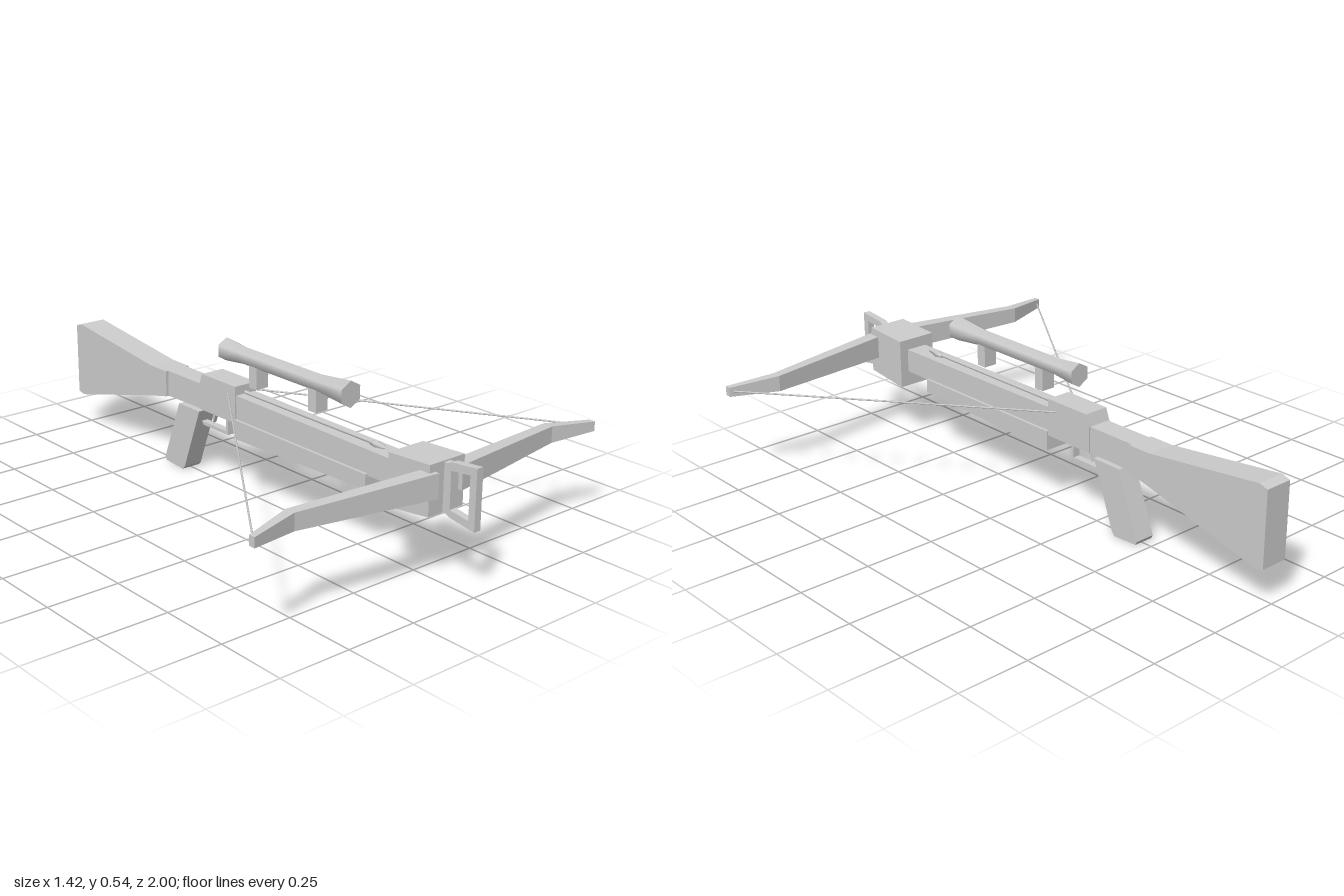
import * as THREE from 'three';

const grey = new THREE.MeshStandardMaterial({ color: 0xcccccc });
grey.name = 'light grey';

export function createModel() {
  const model = new THREE.Group();
  model.name = 'crossbow';

  const add = (name, geometry) => {
    const mesh = new THREE.Mesh(geometry, grey);
    mesh.name = name;
    model.add(mesh);
    return mesh;
  };

  // Side outline in (z, y), extruded across x and centred
  const slab = (name, points, halfWidth, hole) => {
    const shape = new THREE.Shape(points.map(([z, y]) => new THREE.Vector2(z, y)));
    if (hole) shape.holes.push(new THREE.Path(hole.map(([z, y]) => new THREE.Vector2(z, y))));
    const g = new THREE.ExtrudeGeometry(shape, { depth: halfWidth * 2, bevelEnabled: false });
    g.translate(0, 0, -halfWidth);
    g.rotateY(-Math.PI / 2);
    return add(name, g);
  };

  // Thin rod between two points
  const rod = (name, a, b, radius, sides = 6) => {
    const from = new THREE.Vector3(...a), to = new THREE.Vector3(...b);
    const dir = to.clone().sub(from);
    const mesh = add(name, new THREE.CylinderGeometry(radius, radius, dir.length(), sides));
    mesh.position.copy(from).add(to).multiplyScalar(0.5);
    mesh.quaternion.setFromUnitVectors(new THREE.Vector3(0, 1, 0), dir.normalize());
    return mesh;
  };

  // Solid of revolution along z from [z, radius] pairs, given back to front
  const turned = (name, profile, sides, y) => {
    const g = new THREE.LatheGeometry(profile.map(([z, r]) => new THREE.Vector2(r, z)), sides);
    g.rotateX(Math.PI / 2);
    g.translate(0, y, 0);
    return add(name, g);
  };

  // Stock, receiver and rail
  slab('rail', [[0.72, 0.27], [0.72, 0.352], [-0.06, 0.358], [-0.06, 0.26]], 0.04);
  slab('foreEnd', [[0.58, 0.225], [0.58, 0.275], [-0.06, 0.275], [-0.06, 0.207]], 0.05);
  slab('receiver', [[-0.06, 0.26], [-0.06, 0.39], [-0.24, 0.39], [-0.255, 0.35], [-0.255, 0.26]], 0.045);
  slab('wrist', [[-0.25, 0.26], [-0.25, 0.35], [-0.45, 0.35], [-0.45, 0.257]], 0.04);
  slab('buttStock', [[-0.44, 0.257], [-0.44, 0.35], [-0.53, 0.35], [-0.97, 0.402],
    [-1, 0.392], [-1, 0.132], [-0.97, 0.125], [-0.53, 0.237]], 0.05);

  // Grip, trigger and guard
  slab('grip', [[-0.27, 0.243], [-0.385, 0.243], [-0.472, 0.018], [-0.465, 0.005],
    [-0.37, 0], [-0.358, 0.012]], 0.036);
  slab('triggerGuard', [[-0.14, 0.245], [-0.14, 0.188], [-0.275, 0.188], [-0.285, 0.2],
    [-0.15, 0.2], [-0.15, 0.245]], 0.013);
  slab('trigger', [[-0.215, 0.262], [-0.218, 0.235], [-0.228, 0.208], [-0.234, 0.212],
    [-0.227, 0.235], [-0.226, 0.262]], 0.007);

  // Head block and foot stirrup
  slab('headBlock', [[0.7, 0.215], [0.872, 0.235], [0.872, 0.4], [0.7, 0.39]], 0.073);
  slab('stirrup', [[0.86, 0.235], [0.885, 0.235], [0.9, 0.228], [1, 0.213], [1, 0.412],
    [0.9, 0.402], [0.885, 0.395], [0.86, 0.395]], 0.013,
  [[0.9, 0.252], [0.9, 0.376], [0.975, 0.384], [0.975, 0.242]]);

  // Bow limbs: rectangular sections lofted from root to tip [x, zBack, zFront, yLow, yHigh]
  const sections = [[0.05, 0.836, 0.888, 0.293, 0.374], [0.54, 0.775, 0.812, 0.303, 0.359],
    [0.71, 0.823, 0.846, 0.313, 0.346]];
  for (const side of [1, -1]) {
    const positions = [], index = [];
    const quad = (a, b, c, d) => {
      const n = positions.length / 3;
      for (const p of [a, b, c, d]) positions.push(...p);
      index.push(...(side > 0 ? [n, n + 1, n + 2, n, n + 2, n + 3] : [n, n + 2, n + 1, n, n + 3, n + 2]));
    };
    const rings = sections.map(([x, z0, z1, y0, y1]) =>
      [[y0, z0], [y1, z0], [y1, z1], [y0, z1]].map(([y, z]) => [x * side, y, z]));
    for (let i = 0; i < 2; i++) {
      for (let k = 0; k < 4; k++) {
        const m = (k + 1) % 4;
        quad(rings[i][k], rings[i][m], rings[i + 1][m], rings[i + 1][k]);
      }
    }
    quad(...rings[2]);
    quad(...[...rings[0]].reverse());
    const g = new THREE.BufferGeometry();
    g.setAttribute('position', new THREE.Float32BufferAttribute(positions, 3));
    g.setIndex(index);
    g.computeVertexNormals();
    add(side > 0 ? 'leftLimb' : 'rightLimb', g);

    // Drawn string from limb tip to the latch
    rod(side > 0 ? 'leftString' : 'rightString',
      [0.703 * side, 0.33, 0.832], [0.02 * side, 0.356, -0.135], 0.003);
  }
  rod('stringCentre', [-0.02, 0.356, -0.135], [0.02, 0.356, -0.135], 0.003);

  // Bolt lying on the rail
  rod('boltShaft', [0, 0.362, -0.1], [0, 0.362, 0.57], 0.007);
  turned('boltHead', [[0.55, 0], [0.55, 0.008], [0.575, 0.013], [0.632, 0]], 6, 0.36);

  // Hexagonal sight tube with flared ends, on two mounts
  turned('sightTube', [[-0.16, 0.041], [-0.07, 0.031], [0.32, 0.031], [0.455, 0.045]], 6, 0.49);
  for (const [name, z, r, turn] of [['sightFrontCap', 0.455, 0.045, 0], ['sightRearCap', -0.16, 0.041, Math.PI]]) {
    const cap = add(name, new THREE.CircleGeometry(r, 6, Math.PI / 2));
    cap.position.set(0, 0.49, z);
    cap.rotation.y = turn;
  }
  for (const z of [0.303, 0.008]) {
    const mount = add('sightMount', new THREE.BoxGeometry(0.05, 0.08, 0.038));
    mount.position.set(0, 0.437, z);
  }

  return model;
}
